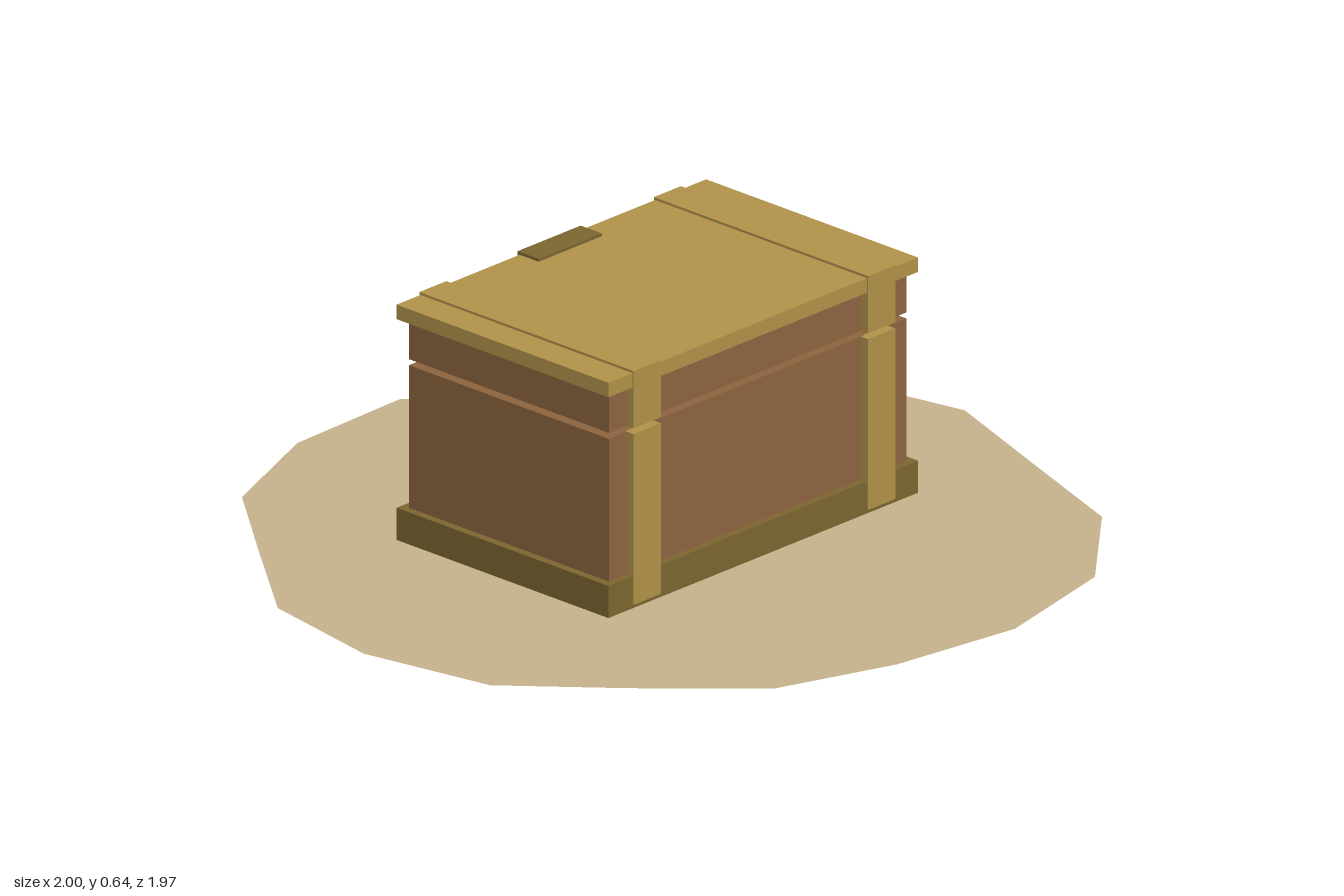
import * as THREE from 'three';

const mat = (color, side = THREE.FrontSide) =>
  new THREE.MeshStandardMaterial({ color, side, flatShading: true });
const WOOD = mat(0x8f6540), GOLD = mat(0xb29449), DARK = mat(0x7d6731);
const SAND = mat(0xc8b58e, THREE.DoubleSide), GEM = mat(0x5f93aa), COIN = mat(0xc9a45c);

// Box given by its extents on each axis
function box(parent, name, material, [x0, x1], [y0, y1], [z0, z1]) {
  const mesh = new THREE.Mesh(new THREE.BoxGeometry(x1 - x0, y1 - y0, z1 - z0), material);
  mesh.position.set((x0 + x1) / 2, (y0 + y1) / 2, (z0 + z1) / 2);
  mesh.name = name;
  parent.add(mesh);
  return mesh;
}

function rect(Type, x0, x1, z0, z1) {
  const path = new Type();
  path.moveTo(x0, -z0).lineTo(x0, -z1).lineTo(x1, -z1).lineTo(x1, -z0).closePath();
  return path;
}

// Four upright walls around a hollow
function walls(parent, name, y0, y1) {
  const shape = rect(THREE.Shape, -0.525, 0.465, -0.31, 0.325);
  shape.holes.push(rect(THREE.Path, -0.485, 0.425, -0.27, 0.285));
  const geo = new THREE.ExtrudeGeometry(shape, { depth: y1 - y0, bevelEnabled: false });
  geo.rotateX(-Math.PI / 2).translate(0, y0, 0);
  const mesh = new THREE.Mesh(geo, WOOD);
  mesh.name = name;
  parent.add(mesh);
}

export function createModel() {
  const model = new THREE.Group();
  model.name = 'treasureChestOnSand';

  // Flat irregular patch of sand, as [x, z] corners
  const outline = [
    [1, 0], [0.93, -0.35], [0.65, -0.57], [0.43, -0.76], [0.15, -0.985], [-0.2, -0.975],
    [-0.52, -0.845], [-0.73, -0.59], [-0.94, -0.33], [-1, 0], [-0.935, 0.34], [-0.73, 0.58],
    [-0.5, 0.825], [-0.2, 0.93], [0.14, 0.98], [0.49, 0.9], [0.76, 0.665], [0.88, 0.33],
  ].map(([x, z]) => new THREE.Vector2(x, -z));
  const sand = new THREE.Mesh(new THREE.ShapeGeometry(new THREE.Shape(outline)), SAND);
  sand.rotation.x = -Math.PI / 2;
  sand.name = 'sandPatch';
  model.add(sand);

  // Chest body and base trim
  const body = new THREE.Group();
  body.name = 'chestBody';
  walls(body, 'bodyWalls', 0.13, 0.485);
  box(body, 'baseTrim', DARK, [-0.545, 0.485], [0.05, 0.13], [-0.33, 0.343]);

  // Lid: short walls under a flat top board
  const lid = new THREE.Group();
  lid.name = 'lid';
  walls(lid, 'lidWalls', 0.5, 0.6);
  box(lid, 'lidBoard', GOLD, [-0.545, 0.485], [0.6, 0.636], [-0.33, 0.343]);

  // Metal straps, front and back on both halves, and over the lid
  for (const x of [-0.42, 0.36]) {
    const w = [x - 0.045, x + 0.045];
    for (const [z0, z1] of [[0.32, 0.347], [-0.334, -0.305]]) {
      box(body, 'bodyStrap', GOLD, w, [0.06, 0.485], [z0, z1]);
      box(lid, 'lidStrap', GOLD, w, [0.5, 0.642], [z0, z1]);
    }
    box(lid, 'lidTopStrap', GOLD, w, [0.63, 0.642], [-0.334, 0.347]);
  }

  // Clasp folded over the rear edge of the lid
  box(lid, 'clasp', DARK, [-0.135, 0.075], [0.53, 0.643], [-0.337, -0.27]);

  // Treasure just showing through the gap
  const treasure = new THREE.Group();
  treasure.name = 'treasure';
  const pile = new THREE.Mesh(new THREE.ConeGeometry(0.25, 0.38, 8), COIN);
  pile.position.set(-0.03, 0.32, 0.01);
  pile.name = 'coinPile';
  treasure.add(pile);
  for (const [x, z] of [[-0.33, 0.095], [0.25, -0.16]]) {
    const gem = new THREE.Mesh(new THREE.OctahedronGeometry(0.06), GEM);
    gem.position.set(x, 0.49, z);
    gem.name = 'gem';
    treasure.add(gem);
  }

  model.add(body, lid, treasure);
  return model;
}
